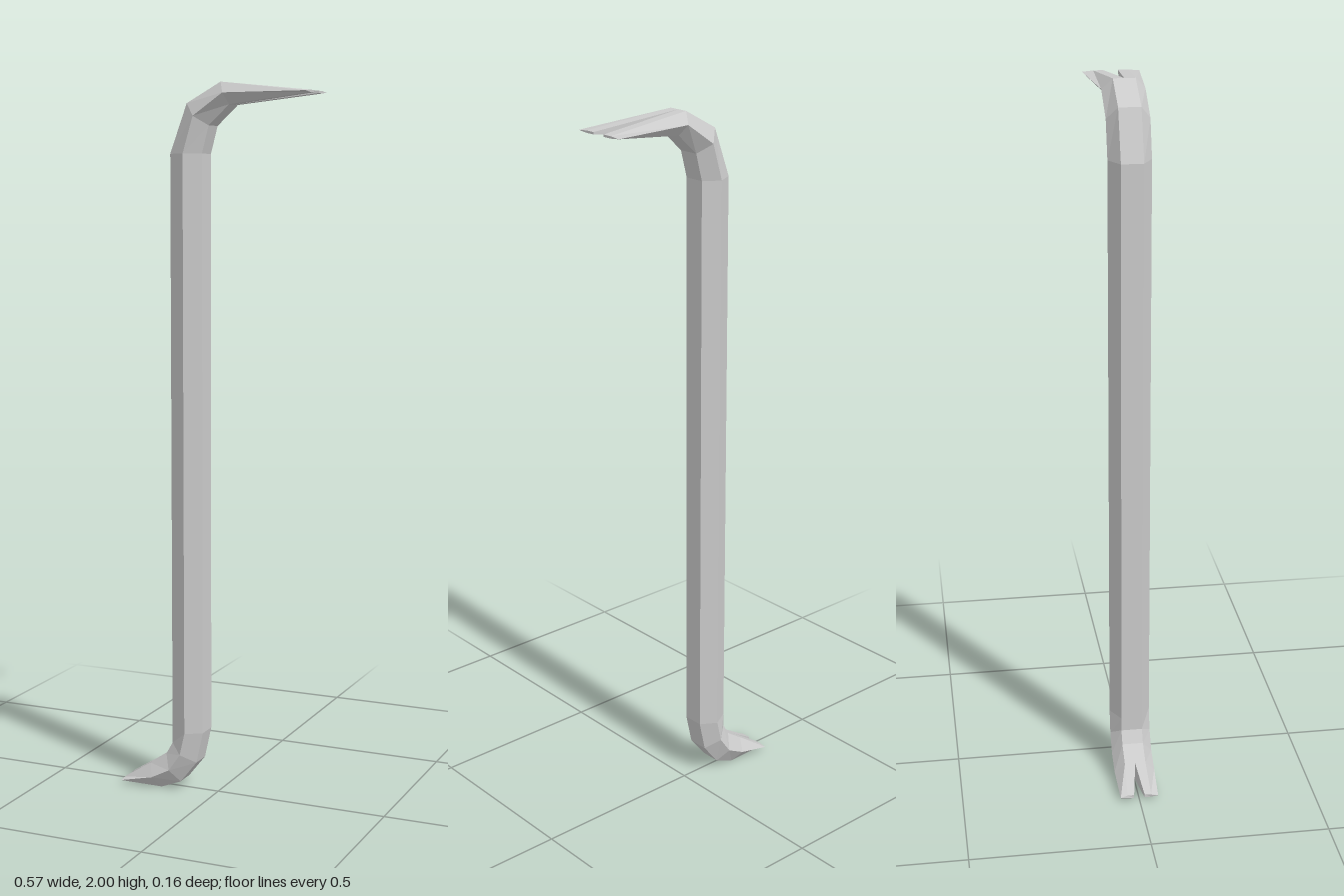
import * as THREE from 'three';

const material = new THREE.MeshStandardMaterial({ color: 0xcccccc, flatShading: true });

// Skins a list of closed rings, optionally capping the first and last one
function loft(name, rings, capStart, capEnd) {
  const n = rings[0].length, index = [];
  for (let i = 0; i < rings.length - 1; i++) {
    for (let j = 0; j < n; j++) {
      const k = (j + 1) % n, p = i * n, q = p + n;
      index.push(p + j, p + k, q + k, p + j, q + k, q + j);
    }
  }
  const last = (rings.length - 1) * n;
  for (let j = 1; j < n - 1; j++) {
    if (capStart) index.push(0, j + 1, j);
    if (capEnd) index.push(last, last + j, last + j + 1);
  }
  const indexed = new THREE.BufferGeometry();
  indexed.setAttribute('position', new THREE.Float32BufferAttribute(rings.flat(2), 3));
  indexed.setIndex(index);
  const geometry = indexed.toNonIndexed();
  geometry.computeVertexNormals();
  const mesh = new THREE.Mesh(geometry, material);
  mesh.name = name;
  return mesh;
}

// Section: left edge a, middle ridge m, right edge b, each as [x, y]
const FLAT = 0.03, RIDGE = 0.058;
const hexRing = ([a, m, b]) => [
  [...a, FLAT], [...m, RIDGE], [...b, FLAT],
  [...b, -FLAT], [...m, -RIDGE], [...a, -FLAT],
];

// Half of a section, on one side of the slot
function prongRing([a, m, b], side, slot, flat, ridge) {
  const ring = [[...a, slot], [...a, flat], [...m, ridge], [...b, flat], [...b, slot]]
    .map(([x, y, z]) => [x, y, z * side]);
  return side > 0 ? ring : ring.reverse();
}

// Two splayed prongs tapering from the end of the bar to a thin edge
function claw(name, root, tip, tipWidths, tipFirst) {
  const group = new THREE.Group();
  group.name = name;
  for (const side of [1, -1]) {
    const rings = [prongRing(root, side, 0, FLAT, RIDGE), prongRing(tip, side, ...tipWidths)];
    if (tipFirst) rings.reverse();
    group.add(loft(side > 0 ? 'frontProng' : 'backProng', rings, tipFirst, !tipFirst));
  }
  return group;
}

export function createModel() {
  // Bar sections from the lower hook to the upper hook
  const sections = [
    [[-0.2, 0.07], [-0.185, 0.037], [-0.165, 0.003]],
    [[-0.15, 0.105], [-0.13, 0.065], [-0.105, 0.027]],
    [[-0.13, 0.14], [-0.095, 0.115], [-0.055, 0.09]],
    [[-0.13, 0.18], [-0.08, 0.18], [-0.035, 0.18]],
    [[-0.13, 1.81], [-0.08, 1.81], [-0.035, 1.81]],
    [[-0.08, 1.945], [-0.05, 1.91], [-0.015, 1.885]],
    [[0.02, 2.0], [0.037, 1.97], [0.045, 1.94]],
  ];
  const lowerTip = [[-0.282, 0.018], [-0.285, 0.013], [-0.282, 0.008]];
  const upperTip = [[0.283, 1.973], [0.283, 1.97], [0.283, 1.967]];

  const model = new THREE.Group();
  model.name = 'pryBar';
  model.add(
    loft('shaft', sections.map(hexRing), false, false),
    claw('lowerClaw', sections[0], lowerTip, [0.015, 0.034, 0.054], true),
    claw('upperClaw', sections[sections.length - 1], upperTip, [0.02, 0.048, 0.079], false),
  );
  return model;
}
